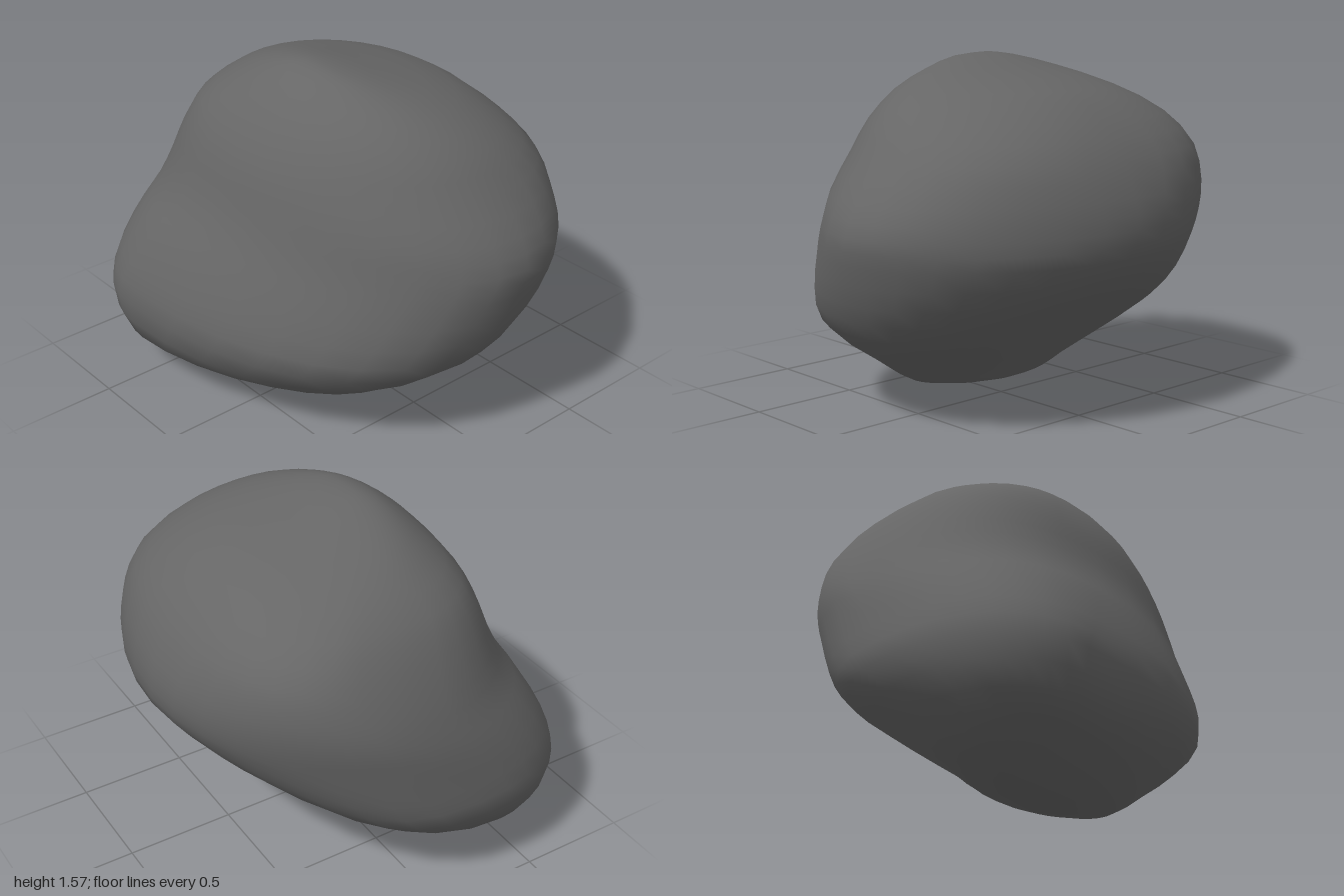
import * as THREE from 'three';
import { mergeVertices } from 'three/addons/utils/BufferGeometryUtils.js';

// Level cross-sections of the boulder, bottom to top:
// y, left x, right x, back z, front z, then where each extreme lies:
// z of left, z of right, x of back, x of front
const SECTIONS = [
  [0, -0.45, -0.45, 0.32, 0.32, 0.32, 0.32, -0.45, -0.45],
  [0.03, -0.6, 0.05, 0.08, 0.5, 0.4, 0.22, -0.12, -0.45],
  [0.08, -0.73, 0.35, 0.02, 0.62, 0.42, 0.2, 0, -0.47],
  [0.2, -0.87, 0.55, -0.15, 0.8, 0.42, 0.15, 0.05, -0.5],
  [0.4, -0.99, 0.83, -0.43, 0.85, 0.25, 0.04, 0.1, -0.5],
  [0.57, -0.98, 0.93, -0.66, 0.81, 0.13, -0.04, 0.1, -0.4],
  [0.75, -0.96, 0.985, -0.82, 0.73, 0, -0.11, 0.05, -0.3],
  [0.87, -0.935, 1, -0.84, 0.66, -0.1, -0.15, 0, -0.2],
  [1, -0.89, 0.945, -0.815, 0.6, -0.14, -0.16, 0, -0.15],
  [1.16, -0.81, 0.825, -0.74, 0.55, -0.12, -0.15, 0, -0.1],
  [1.3, -0.71, 0.71, -0.62, 0.48, -0.06, -0.1, 0, -0.07],
  [1.42, -0.55, 0.54, -0.45, 0.39, 0, -0.02, 0, -0.05],
  [1.5, -0.36, 0.34, -0.16, 0.3, 0.08, 0.06, 0, -0.05],
  [1.55, -0.17, 0.15, 0.03, 0.22, 0.13, 0.13, -0.03, -0.05],
  [1.565, -0.05, -0.05, 0.14, 0.14, 0.14, 0.14, -0.05, -0.05],
];

// Corner shape of each section (1 is an ellipse, lower is squarer):
// front right, front left, back left, back right
const CORNERS = [
  [1, 1, 1, 1],
  [1.15, 1, 0.9, 0.95],
  [1.25, 1.05, 0.85, 0.9],
  [1.12, 1, 0.8, 0.85],
  [0.92, 0.92, 0.78, 0.78],
  [0.97, 0.8, 0.88, 0.9],
  [1.04, 0.83, 1.03, 1],
  [1.06, 0.82, 1.04, 1.02],
  [1, 0.79, 0.92, 0.97],
  [1, 0.76, 0.74, 0.86],
  [1, 0.76, 0.74, 0.95],
  [1, 0.94, 0.98, 1.04],
  [1, 1, 1, 1],
  [1, 1, 1, 1],
  [1, 1, 1, 1],
];
const SIDES = 32;
const STEPS = 28;

// Point on a section: each quarter is an arc between neighbouring extremes
function sectionPoint([y, xl, xr, zb, zf, zl, zr, xb, xf], corners, step) {
  const angle = (step / SIDES) * Math.PI * 2;
  const c = Math.cos(angle), s = Math.sin(angle);
  const power = corners[Math.floor((step / SIDES) * 4)];
  const round = (v) => Math.pow(Math.abs(v), power);
  const cx = s >= 0 ? xf : xb;
  const cz = c >= 0 ? zr : zl;
  return new THREE.Vector3(
    cx + ((c >= 0 ? xr : xl) - cx) * round(c),
    y,
    cz + ((s >= 0 ? zf : zb) - cz) * round(s),
  );
}

function boulderGeometry() {
  const positions = [], indices = [];
  // Smooth ribs run from the underside to the crown
  for (let i = 0; i < SIDES; i++) {
    const rib = new THREE.CatmullRomCurve3(
      SECTIONS.map((row, k) => sectionPoint(row, CORNERS[k], i)),
    );
    for (let j = 0; j <= STEPS; j++) {
      const p = rib.getPoint(j / STEPS);
      positions.push(p.x, Math.max(0, p.y), p.z);
    }
  }
  // Skin between neighbouring ribs, single triangles at both poles
  for (let i = 0; i < SIDES; i++) {
    for (let j = 0; j < STEPS; j++) {
      const a = i * (STEPS + 1) + j;
      const b = ((i + 1) % SIDES) * (STEPS + 1) + j;
      if (j < STEPS - 1) indices.push(a, a + 1, b + 1);
      if (j > 0) indices.push(a, b + 1, b);
    }
  }
  const geometry = new THREE.BufferGeometry();
  geometry.setAttribute('position', new THREE.Float32BufferAttribute(positions, 3));
  geometry.setIndex(indices);
  const merged = mergeVertices(geometry, 1e-4);
  merged.computeVertexNormals();
  return merged;
}

export function createModel() {
  const group = new THREE.Group();
  group.name = 'rock';
  // Dark stone
  const boulder = new THREE.Mesh(
    boulderGeometry(),
    new THREE.MeshStandardMaterial({ color: 0x666666 }),
  );
  boulder.name = 'boulder';
  group.add(boulder);
  return group;
}
